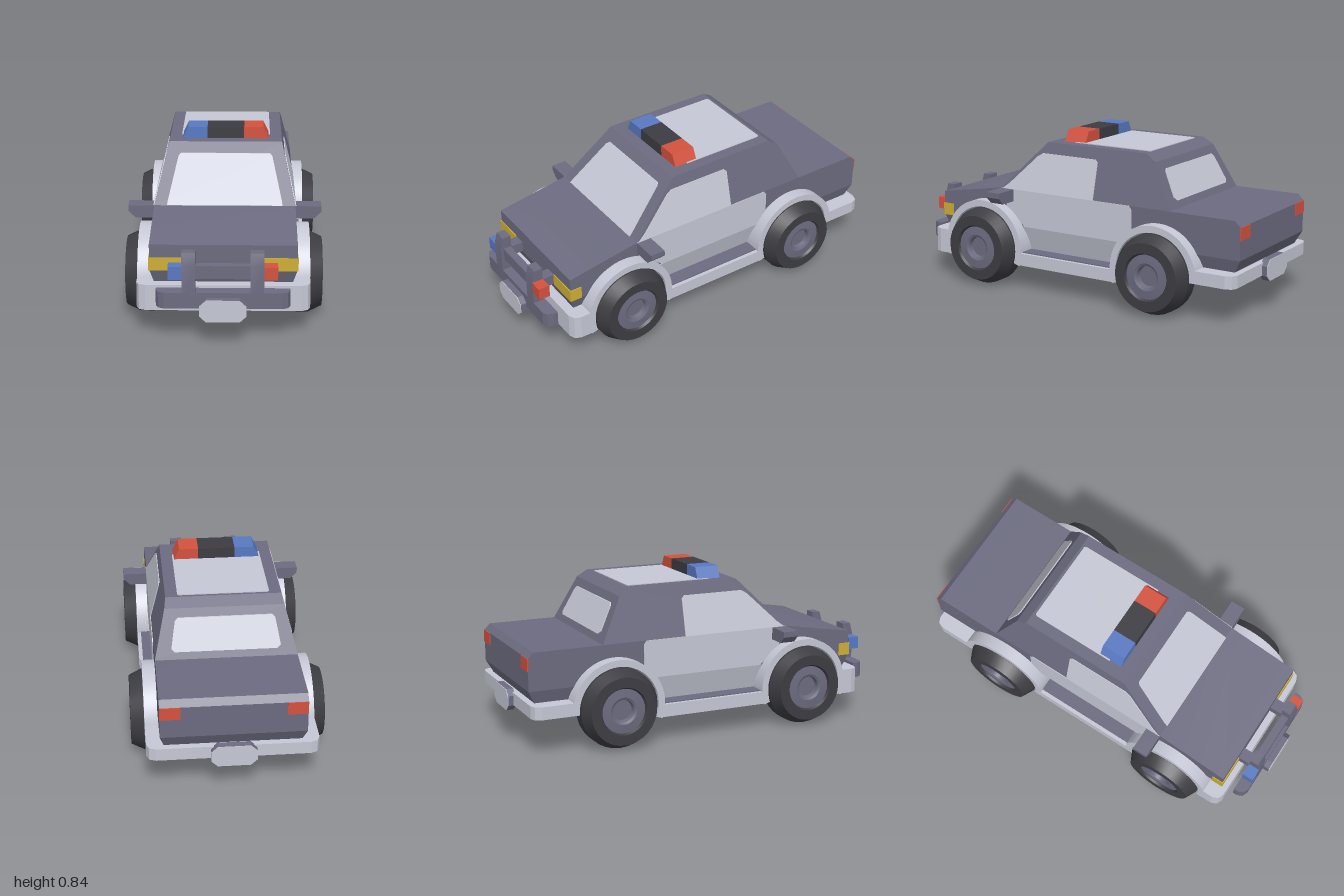
import * as THREE from 'three';
import { toCreasedNormals } from 'three/addons/utils/BufferGeometryUtils.js';

const material = (name, color) => {
  const m = new THREE.MeshStandardMaterial({ color });
  m.name = name;
  return m;
};

export function createModel() {
  const model = new THREE.Group();
  model.name = 'patrolCar';
  const slate = material('slate paint', 0x6c6b80);
  const pale = material('pale paint and glass', 0xc5c8d5);
  const rubber = material('black rubber', 0x3d3c42);
  const red = material('red lens', 0xd4523f);
  const blue = material('blue lens', 0x5879c2);
  const yellow = material('yellow lens', 0xceae33);

  const add = (name, geo, mat) => {
    const mesh = new THREE.Mesh(toCreasedNormals(geo, 0.38), mat);
    mesh.name = name;
    model.add(mesh);
    return mesh;
  };
  const outline = (pts) => new THREE.Shape(pts.map(([x, y]) => new THREE.Vector2(x, y)));
  const extrude = (shape, depth) =>
    new THREE.ExtrudeGeometry(shape, { depth, bevelEnabled: false, curveSegments: 24 });
  const reshape = (geo, rule) => {
    const p = geo.attributes.position;
    const v = new THREE.Vector3();
    for (let i = 0; i < p.count; i++) {
      rule(v.fromBufferAttribute(p, i));
      p.setXYZ(i, v.x, v.y, v.z);
    }
    return geo;
  };
  const box = (name, x0, x1, y0, y1, z0, z1, mat) =>
    add(name, new THREE.BoxGeometry(x1 - x0, y1 - y0, z1 - z0)
      .translate((x0 + x1) / 2, (y0 + y1) / 2, (z0 + z1) / 2), mat);
  // side profile in (z, y), spanning x0..x1
  const sideSolid = (shape, x0, x1) => extrude(shape, x1 - x0).rotateY(-Math.PI / 2).translate(x1, 0, 0);
  // front profile in (x, y), spanning z0..z1
  const frontSolid = (pts, z0, z1) => extrude(outline(pts), z1 - z0).translate(0, 0, z0);
  // plan profile in (x, z), spanning y0..y1
  const planSolid = (pts, y0, y1) =>
    extrude(outline(pts.map(([x, z]) => [x, -z])), y1 - y0).rotateX(-Math.PI / 2).translate(0, y0, 0);
  const mirrored = (pts) => [...pts, ...pts.map(([x, y]) => [-x, y]).reverse()];

  // Body sides lean inward above the beltline and below the sill line
  const lean = (v) => {
    const inset = v.y > 0.52 ? (v.y - 0.52) * 0.25 : v.y < 0.325 ? (0.325 - v.y) * 0.3 : 0;
    v.x -= Math.sign(v.x) * inset;
  };
  const W = 0.355;
  const bodyPart = (name, pts) => add(name, reshape(sideSolid(outline(pts), -W, W), lean), slate);
  bodyPart('lowerBody', [[0.84, 0.325], [-0.97, 0.325], [-0.93, 0.25], [-0.3, 0.19], [0.3, 0.19], [0.815, 0.25]]);
  bodyPart('upperBody', [[0.84, 0.325], [0.84, 0.455], [0.45, 0.52], [-0.94, 0.52], [-0.97, 0.49], [-0.97, 0.325]]);
  bodyPart('cabin', [[0.45, 0.52], [0.19, 0.78], [-0.41, 0.78], [-0.465, 0.745], [-0.58, 0.52]]);

  // Floor with room for the wheels
  add('floor', sideSolid(outline([[0.86, 0.128], [0.8, 0.27], [-0.95, 0.255], [-0.95, 0.193],
    [-0.72, 0.193], [-0.32, 0.128]]), -0.28, 0.28), slate);
  box('midFloor', -0.4, 0.4, 0.127, 0.2, -0.29, 0.3, slate);
  add('frontFloor', planSolid(mirrored([[0.4, 0.75], [0.4, 0.83], [0.375, 0.86]]), 0.127, 0.15), slate);

  // Bumpers with rounded corners
  add('frontBumper', planSolid(mirrored([[0.42, 0.74], [0.42, 0.825], [0.407, 0.857], [0.375, 0.87]]), 0.13, 0.26), pale);
  add('rearBumper', planSolid(mirrored([[0.42, -0.73], [0.42, -0.925], [0.407, -0.957], [0.375, -0.97]]), 0.195, 0.26), pale);

  // Door and side window panels, wheel arches, rockers, mirrors
  const panels = {
    doorUpper: [[0.45, 0.52], [0.41, 0.42], [0.3, 0.325], [-0.3, 0.325], [-0.36, 0.38], [-0.36, 0.5], [-0.345, 0.52]],
    doorLower: [[0.32, 0.325], [0.3, 0.19], [-0.3, 0.19], [-0.32, 0.325]],
    sideWindow: [[0.44, 0.52], [0.4, 0.55], [0.24, 0.705], [0.21, 0.722], [-0.115, 0.722], [-0.13, 0.708], [-0.13, 0.52]],
  };
  const arch = (z, startLow, endLow) => {
    const s = new THREE.Shape();
    s.absarc(z, 0.205, 0.247, -startLow, Math.PI + endLow, false);
    s.absarc(z, 0.205, 0.212, Math.PI + endLow, -startLow, true);
    return s;
  };
  for (const [label, s] of [['left', 1], ['right', -1]]) {
    const span = (a, b) => (s > 0 ? [a, b] : [-b, -a]);
    for (const [name, pts] of Object.entries(panels))
      add(label + name, reshape(sideSolid(outline(pts), ...span(W - 0.002, W + 0.004)), lean), pale);
    add(label + 'FrontArch', sideSolid(arch(0.53, 0.33, 0.33), ...span(0.3, 0.42)), pale);
    add(label + 'RearArch', sideSolid(arch(-0.52, 0.33, 0.03), ...span(0.3, 0.42)), pale);
    box(label + 'Rocker', ...span(0.32, 0.42), 0.13, 0.195, -0.3, 0.31, pale);
    add(label + 'Mirror', frontSolid([[0.34, 0.455], [0.45, 0.455], [0.485, 0.49], [0.485, 0.519], [0.34, 0.519]]
      .map(([x, y]) => [x * s, y]), 0.37, 0.45), slate);

    // Lamps
    box(label + 'Headlight', ...span(0.195, 0.36), 0.325, 0.39, 0.78, 0.845, yellow);
    box(label + 'TailLight', ...span(0.255, 0.355), 0.425, 0.49, -0.974, -0.967, red);

    // Bull bar uprights, mounts and lamps
    add(label + 'BullBarUpright', sideSolid(outline([[0.905, 0.2], [0.965, 0.2], [0.965, 0.4], [0.95, 0.455],
      [0.905, 0.455]]), ...span(0.13, 0.195)), slate);
    box(label + 'BullBarMount', ...span(0.132, 0.193), 0.33, 0.385, 0.83, 0.91, slate);
    box(label + 'BullBarLamp', ...span(0.195, 0.26), 0.325, 0.39, 0.905, 0.965, s > 0 ? red : blue);

    // Wheels: lathed tyre and recessed rim
    for (const [end, z] of [['Front', 0.53], ['Rear', -0.52]]) {
      const lathe = (pts) => new THREE.LatheGeometry(pts.map(([r, d]) => new THREE.Vector2(r, d)), 32)
        .rotateZ(-s * Math.PI / 2).translate(0, 0.205, z);
      add(label + end + 'Tyre', lathe([[0, 0.28], [0.17, 0.28], [0.205, 0.35], [0.205, 0.42],
        [0.174, 0.485], [0.122, 0.485], [0.113, 0.47]]), rubber);
      add(label + end + 'Rim', lathe([[0.115, 0.472], [0.07, 0.476], [0.057, 0.47], [0.052, 0.445], [0, 0.445]]), slate);
    }
  }
  add('bullBarLower', planSolid(mirrored([[0.32, 0.9], [0.32, 0.925], [0.308, 0.952], [0.28, 0.965]]), 0.18, 0.26), slate);
  box('bullBarCross', -0.135, 0.135, 0.325, 0.39, 0.91, 0.95, slate);

  // Windscreen, rear window and roof panel
  const screen = (name, pts, zOf) =>
    add(name, reshape(frontSolid(mirrored(pts), -0.003, 0.003), (v) => { v.z += zOf(v.y); }), pale);
  screen('windscreen', [[0.29, 0.522], [0.287, 0.54], [0.24, 0.722], [0.228, 0.733]], (y) => 0.453 - (y - 0.52));
  screen('rearWindow', [[0.255, 0.555], [0.272, 0.57], [0.25, 0.69], [0.235, 0.705]],
    (y) => -0.583 + (y - 0.52) * 0.511);
  add('roofPanel', planSolid(mirrored([[0.222, -0.395], [0.23, -0.387], [0.23, 0.06]]), 0.777, 0.784), pale);

  // Roof light bar
  const lens = [[0.095, 0.778], [0.225, 0.778], [0.195, 0.84], [0.095, 0.84]];
  add('lightBarRed', frontSolid(lens, 0, 0.128), red);
  add('lightBarBlue', frontSolid(lens.map(([x, y]) => [-x, y]), 0, 0.128), blue);
  box('lightBarCentre', -0.095, 0.095, 0.778, 0.84, 0, 0.128, rubber);

  // Number plates: slate backing with a pale face
  const plate = (name, y, z0, z1, faceZ) => {
    const pts = mirrored([[0.08, y - 0.055], [0.112, y - 0.025], [0.112, y + 0.025], [0.08, y + 0.055]]);
    add(name + 'Backing', frontSolid(pts, z0, z1), slate);
    add(name + 'Face', frontSolid(pts, faceZ, faceZ + 0.003), pale);
  };
  plate('frontPlate', 0.18, 0.95, 0.997, 0.997);
  plate('rearPlate', 0.22, -0.997, -0.96, -1);

  return model;
}
